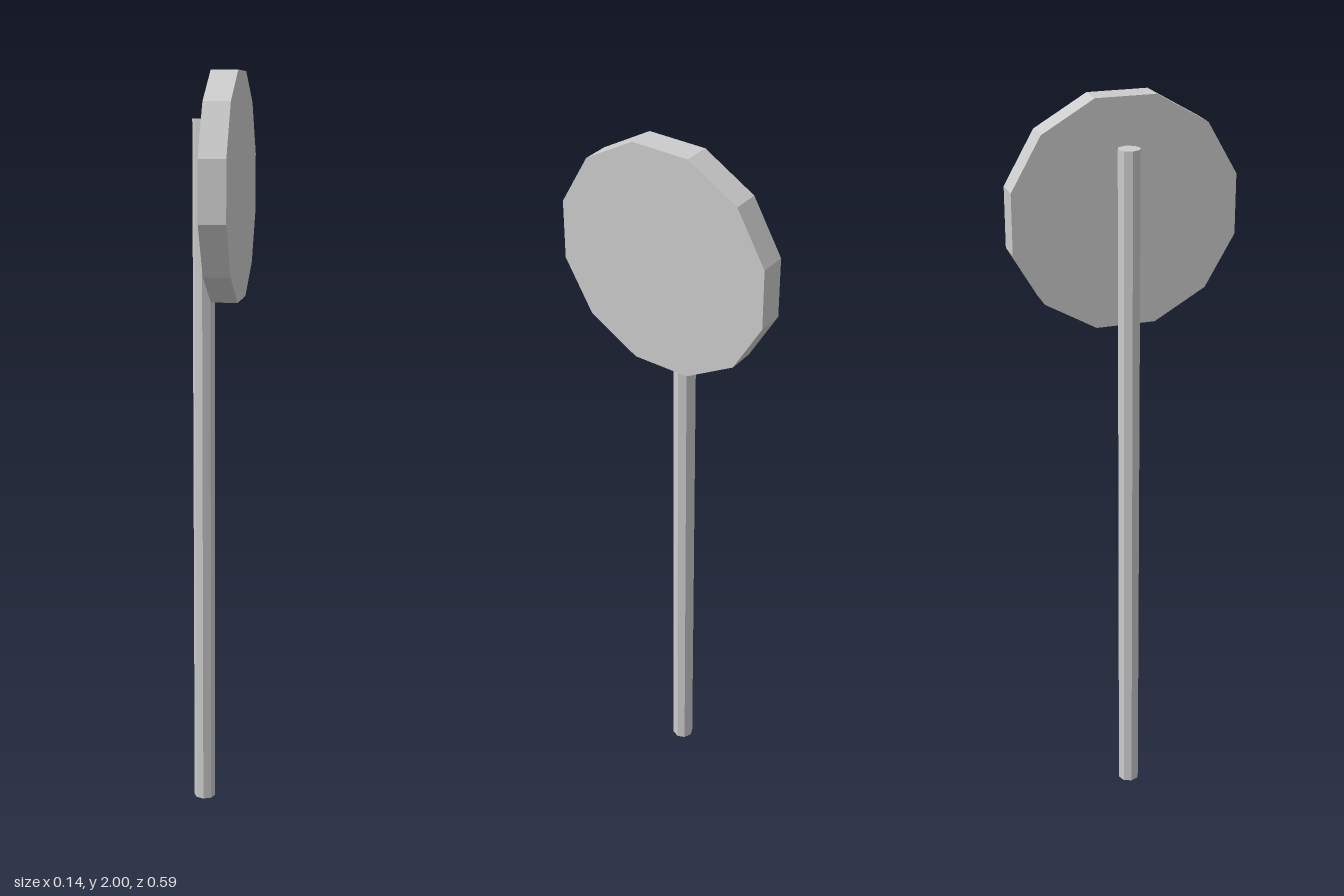
import * as THREE from 'three';

export function createModel() {
  const model = new THREE.Group();
  const material = new THREE.MeshStandardMaterial({ color: 0xcccccc, flatShading: true });
  const yaw = 0.029; // the whole sign is turned slightly on its post

  function prism(name, radius, height, sides, thetaStart = 0) {
    const geometry = new THREE.CylinderGeometry(radius, radius, height, sides, 1, false, thetaStart);
    const mesh = new THREE.Mesh(geometry, material);
    mesh.name = name;
    model.add(mesh);
    return mesh;
  }

  // Eight-sided upright post
  const post = prism('post', 0.0295, 1.88, 8);
  post.position.set(-0.041, 0.94, -0.001);
  post.rotation.y = yaw;

  // Twelve-sided disc, flat edges at top, bottom and sides, facing +x
  const disc = prism('signDisc', 0.3035, 0.07, 12, Math.PI / 12);
  disc.geometry.rotateZ(-Math.PI / 2);
  disc.position.set(0.025, 1.707, -0.001);
  disc.rotation.y = yaw;

  return model;
}
